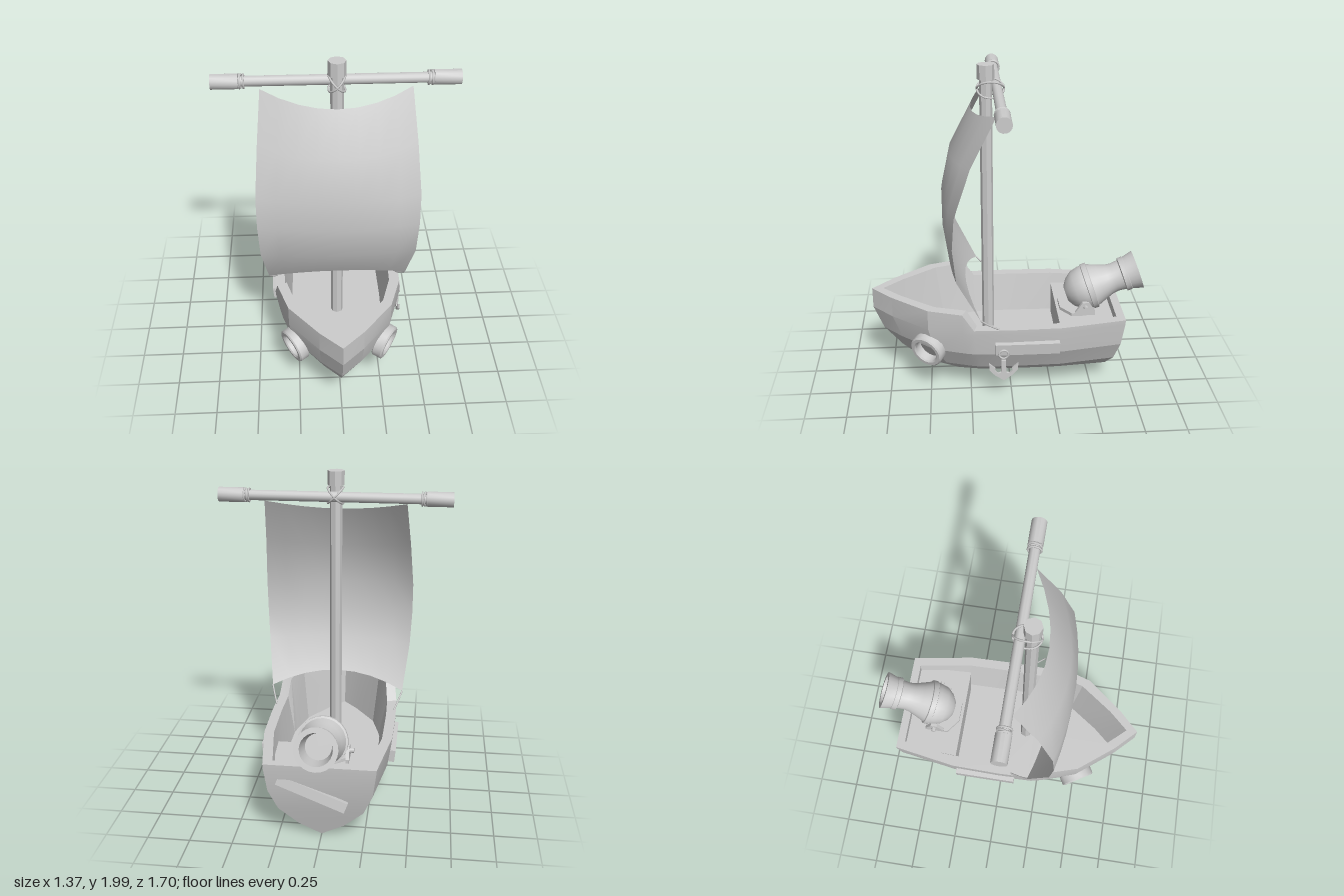
import * as THREE from 'three';
import { toCreasedNormals } from 'three/addons/utils/BufferGeometryUtils.js';

const grey = new THREE.MeshStandardMaterial({ color: 0xcccccc });
grey.name = 'plainGrey';
const greySheet = new THREE.MeshStandardMaterial({ color: 0xcccccc, side: THREE.DoubleSide });
greySheet.name = 'plainGreySheet';

// Joins rows of points into a surface; closed wraps each row around.
function loft(rows, closed, crease) {
  const n = rows[0].length, idx = [];
  for (let r = 0; r < rows.length - 1; r++) {
    for (let i = 0; i < (closed ? n : n - 1); i++) {
      const j = (i + 1) % n, a = r * n + i, b = r * n + j, c = b + n, d = a + n;
      idx.push(a, b, c, a, c, d);
    }
  }
  const geo = new THREE.BufferGeometry();
  geo.setAttribute('position', new THREE.Float32BufferAttribute(rows.flat(2), 3));
  geo.setIndex(idx);
  return toCreasedNormals(geo, crease);
}

export function createModel() {
  const model = new THREE.Group();
  const add = (name, geo, pos = [0, 0, 0], rot = [0, 0, 0], mat = grey) => {
    const m = new THREE.Mesh(geo, mat);
    m.name = name;
    m.position.set(...pos);
    m.rotation.set(...rot);
    model.add(m);
    return m;
  };
  const cyl = (r1, r2, h, n) => toCreasedNormals(new THREE.CylinderGeometry(r1, r2, h, n), 0.6);
  const tube = (pts, r, closed, n) => new THREE.TubeGeometry(
    new THREE.CatmullRomCurve3(pts.map(p => new THREE.Vector3(...p)), closed), n, r, 6, closed);

  // Hull: one plan outline, scaled at each level; null height follows the stepped rail
  const widths = [0.82, 0.985, 1, 0.985, 0.945, 0.78, 0.33, 0];
  const bowSteps = [0.27, 0.35, 0.59, 0.85, 1];
  const levels = [ // height, half width, stern z, bow z
    [0.005, 0, -0.59, 0.35], [0.08, 0.16, -0.61, 0.55], [0.19, 0.3, -0.64, 0.68],
    [0.32, 0.365, -0.67, 0.79], [0.47, 0.388, -0.688, 0.85], [null, 0.39, -0.69, 0.85],
    [null, 0.33, -0.64, 0.78], [0.25, 0.285, -0.64, 0.7], [0.25, 0, -0.64, 0.7],
  ];
  const hullRows = levels.map(([y, w, stern, bow]) => {
    const zs = [stern, -0.3, 0, ...bowSteps.map(k => k * bow)];
    const left = zs.map((z, i) => [w * widths[i], y ?? (i < 4 ? 0.5 : 0.6), z]);
    const right = left.slice(0, -1).map(([x, h, z]) => [-x, h, z]);
    return [...right, ...left.reverse()];
  });
  add('hull', loft(hullRows, true, 0.25));

  // Raised stern deck, narrower below and towards the stern
  const deck = new THREE.BoxGeometry(0.58, 0.2, 0.35);
  const dp = deck.attributes.position;
  for (let i = 0; i < dp.count; i++) {
    const low = dp.getY(i) < 0 ? 0.83 : 1;
    dp.setX(i, dp.getX(i) * low * (dp.getZ(i) > 0 ? 1.03 : 0.97));
  }
  deck.computeVertexNormals();
  add('sternDeck', deck, [0, 0.34, -0.475]);

  // Planks on the sides and the diagonal patch on the transom
  for (const s of [-1, 1]) {
    add('sidePlank', new THREE.BoxGeometry(0.04, 0.075, 0.385), [s * 0.383, 0.373, -0.09], [0, 0, -s * 0.1]);
  }
  add('sternPatch', new THREE.BoxGeometry(0.42, 0.06, 0.03), [0.045, 0.325, -0.678], [0.16, 0, 0.36]);

  // Portholes
  const ring = new THREE.Shape().absarc(0, 0, 0.1, 0, Math.PI * 2);
  ring.holes.push(new THREE.Path().absarc(0, 0, 0.08, 0, Math.PI * 2, true));
  const ringGeo = toCreasedNormals(new THREE.ExtrudeGeometry(ring, {
    depth: 0.05, bevelEnabled: true, bevelSize: 0.008, bevelThickness: 0.008, bevelSegments: 1, curveSegments: 8,
  }), 0.5);
  for (const s of [-1, 1]) {
    const port = add('porthole', ringGeo, [s * 0.25, 0.32, 0.495]);
    port.quaternion.setFromUnitVectors(new THREE.Vector3(0, 0, 1),
      new THREE.Vector3(s * 0.83, -0.2, 0.52).normalize());
  }

  // Anchor on the left side, mirrored from half an outline
  const half = [[0.013, 0.14], [0.016, 0.055], [0.035, 0.05], [0.055, 0.07], [0.05, 0.085],
    [0.088, 0.12], [0.085, 0.075], [0.055, 0.04]];
  const outline = [...half, [0, 0], ...half.map(([x, y]) => [-x, y]).reverse()];
  const anchor = new THREE.Shape(outline.map(p => new THREE.Vector2(...p)));
  add('anchor', new THREE.ExtrudeGeometry(anchor, { depth: 0.014, bevelEnabled: false }),
    [0.392, 0.16, 0.055], [0, Math.PI / 2, 0]);
  add('anchorRing', new THREE.TorusGeometry(0.028, 0.006, 6, 14), [0.405, 0.345, 0.055], [0, Math.PI / 2, 0]);

  // Mast and yard
  add('mast', cyl(0.037, 0.037, 1.68, 8), [0, 1.09, 0.13]);
  add('mastCap', cyl(0.05, 0.05, 0.085, 8), [0, 1.957, 0.13]);
  const side = [0, 0, Math.PI / 2];
  add('yard', cyl(0.03, 0.03, 1.2, 14), [0, 1.857, 0.065], side);
  for (const s of [-1, 1]) {
    add('yardEnd', cyl(0.043, 0.043, 0.15, 14), [s * 0.61, 1.857, 0.065], side);
    for (const [x, tilt] of [[0.505, 0], [0.522, 0.25], [0.528, -0.12]]) {
      add('yardRope', new THREE.TorusGeometry(0.038, 0.006, 6, 14),
        [s * x, 1.857, 0.065], [0, Math.PI / 2 + s * tilt, s * tilt]);
    }
    // Crossed lashing round mast and yard
    const loop = [];
    for (let i = 0; i < 12; i++) {
      const t = i / 12 * Math.PI * 2;
      loop.push([s * 0.046 * Math.sin(t), 1.86 + 0.046 * Math.sin(t), 0.103 + 0.078 * Math.cos(t)]);
    }
    add('mastLashing', tube(loop, 0.006, true, 24));
    // Rope from the sail corner to the rail
    add('sheetRope', tube([[s * 0.42, 0.59, 0.19], [s * 0.4, 0.545, 0.14], [s * 0.375, 0.5, 0.08]], 0.005, false, 6));
  }

  // Billowing sail from foot to head: edge x, edge y, edge z, middle y, middle z
  const sailRows = [
    [0.42, 0.59, 0.19, 0.68, 0.27], [0.455, 0.86, 0.325, 0.87, 0.37], [0.465, 1.07, 0.345, 1.07, 0.4],
    [0.465, 1.26, 0.33, 1.26, 0.4], [0.445, 1.54, 0.235, 1.5, 0.35], [0.42, 1.82, 0.09, 1.755, 0.22],
  ].map(([x, ey, ez, my, mz]) => {
    const row = [];
    for (let i = -4; i <= 4; i++) {
      const u = i / 4, k = u * u;
      row.push([x * u, my + (ey - my) * k, mz + (ez - mz) * k]);
    }
    return row;
  });
  add('sail', loft(sailRows, false, 1), [0, 0, 0], [0, 0, 0], greySheet);

  // Cannon pointing aft and up
  const profile = [[0, 0], [0.05, 0], [0.09, 0.025], [0.125, 0.07], [0.138, 0.12], [0.138, 0.14],
    [0.146, 0.143], [0.146, 0.175], [0.135, 0.178], [0.115, 0.23], [0.095, 0.285], [0.09, 0.32],
    [0.095, 0.37], [0.108, 0.375], [0.108, 0.405], [0.104, 0.408], [0.122, 0.475], [0.092, 0.475],
    [0.075, 0.36], [0, 0.36]].map(p => new THREE.Vector2(...p));
  add('cannon', toCreasedNormals(new THREE.LatheGeometry(profile, 24), 0.5),
    [0, 0.52, -0.365], [0.34 - Math.PI / 2, 0, 0]);

  // Cannon carriage: base plate, cheeks and trunnion
  const plate = cyl(0.16, 0.16, 0.02, 8).rotateY(Math.PI / 8).scale(1, 1, 0.75);
  add('cannonBase', plate, [0, 0.45, -0.43]);
  const cheek = new THREE.Shape([[-0.06, 0], [0.06, 0], [0.06, 0.025], [0.02, 0.085], [-0.02, 0.085], [-0.06, 0.025]]
    .map(p => new THREE.Vector2(...p)));
  for (const s of [-1, 1]) {
    add('cannonCheek', new THREE.ExtrudeGeometry(cheek, { depth: 0.02, bevelEnabled: false }),
      [s * 0.14 - 0.01, 0.445, -0.47], [0, Math.PI / 2, 0]);
  }
  add('trunnion', cyl(0.014, 0.014, 0.35, 10), [0, 0.5, -0.47], side);

  return model;
}
